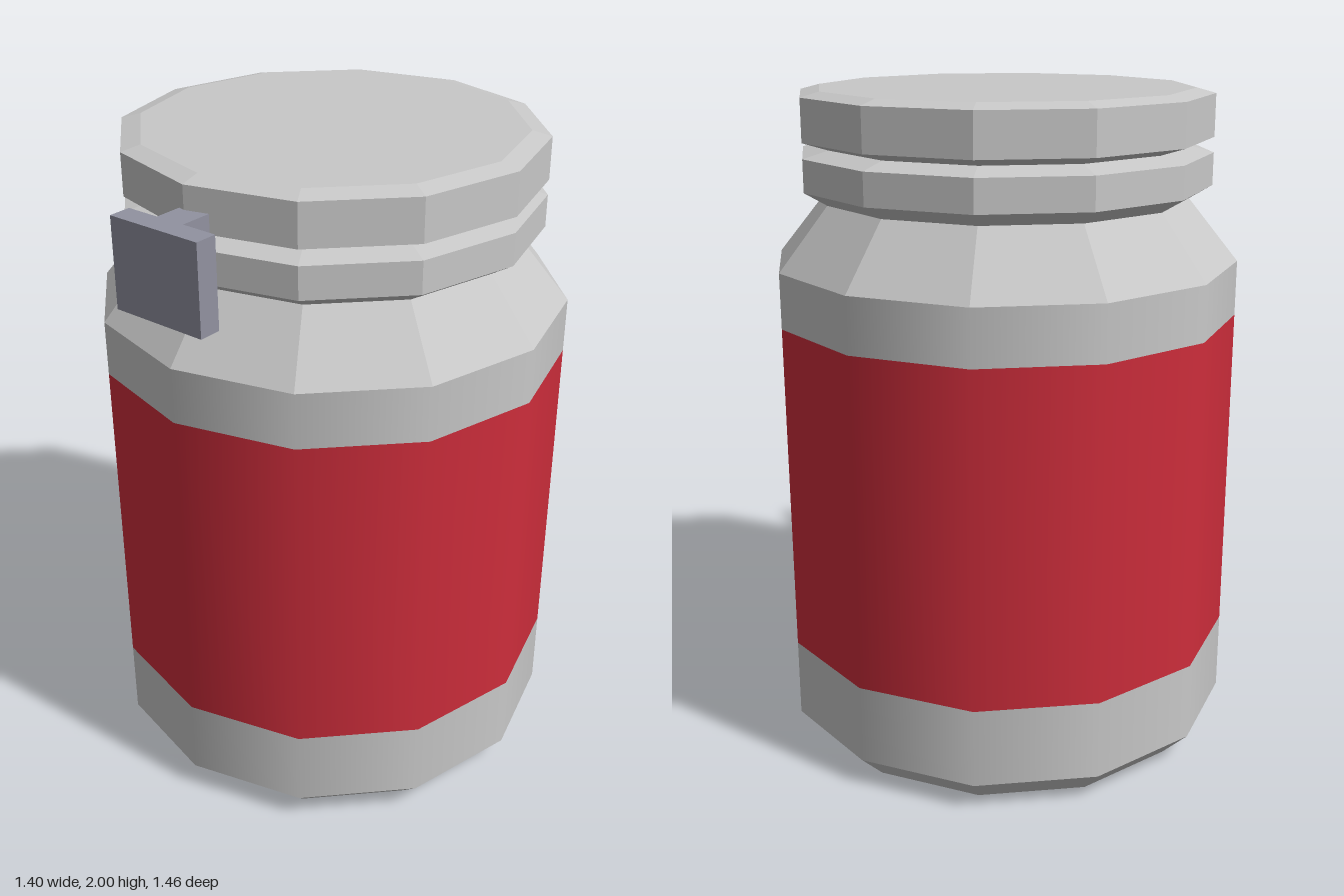
import * as THREE from 'three';

const SIDES = 12;

export function createModel() {
  const material = (name, color) => {
    const m = new THREE.MeshStandardMaterial({ color });
    m.name = name;
    return m;
  };
  const grey = material('lightGrey', 0xc8c8c8);
  const red = material('red', 0xcd2d3b);
  const steel = material('blueGrey', 0x9192a0);

  const model = new THREE.Group();
  model.name = 'jar';
  const add = (parent, name, geometry, mat) => {
    const mesh = new THREE.Mesh(geometry, mat);
    mesh.name = name;
    parent.add(mesh);
    return mesh;
  };

  // Twelve-sided turned shape from [radius, y] points, listed bottom to top
  const turned = (points, faceted) => {
    const lathe = new THREE.LatheGeometry(points.map(([r, y]) => new THREE.Vector2(r, y)), SIDES);
    if (!faceted) return lathe;
    const flat = lathe.toNonIndexed();
    flat.computeVertexNormals();
    return flat;
  };

  // Jar, set slightly back to leave room for the clip
  const jar = new THREE.Group();
  jar.name = 'jarBody';
  jar.position.z = -0.03;
  model.add(jar);
  add(jar, 'base', turned([[0, 0], [0.615, 0], [0.7, 0.085]], true), grey);
  add(jar, 'lowerWall', turned([[0.7, 0.085], [0.7, 0.325]]), grey);
  add(jar, 'redBand', turned([[0.7, 0.325], [0.7, 1.33]]), red);
  add(jar, 'upperWall', turned([[0.7, 1.33], [0.7, 1.495]]), grey);
  add(jar, 'shoulder', turned([[0.7, 1.495], [0.55, 1.68]], true), grey);

  // Lid with a chamfered rim and a groove around the middle
  add(jar, 'lid', turned([
    [0.55, 1.68], [0.617, 1.72], [0.617, 1.815], [0.54, 1.836],
    [0.617, 1.86], [0.617, 1.985], [0.56, 2], [0, 2],
  ], true), grey);

  // Front clip: a short stem carrying a hanging plate
  const clip = new THREE.Group();
  clip.name = 'clip';
  model.add(clip);
  const box = (name, x0, x1, y0, y1, z0, z1) => {
    const mesh = add(clip, name, new THREE.BoxGeometry(x1 - x0, y1 - y0, z1 - z0), steel);
    mesh.position.set((x0 + x1) / 2, (y0 + y1) / 2, (z0 + z1) / 2);
  };
  box('clipStem', -0.02, 0.07, 1.8, 1.917, 0.565, 0.665);
  box('clipPlate', -0.12, 0.178, 1.657, 1.917, 0.663, 0.73);

  return model;
}
